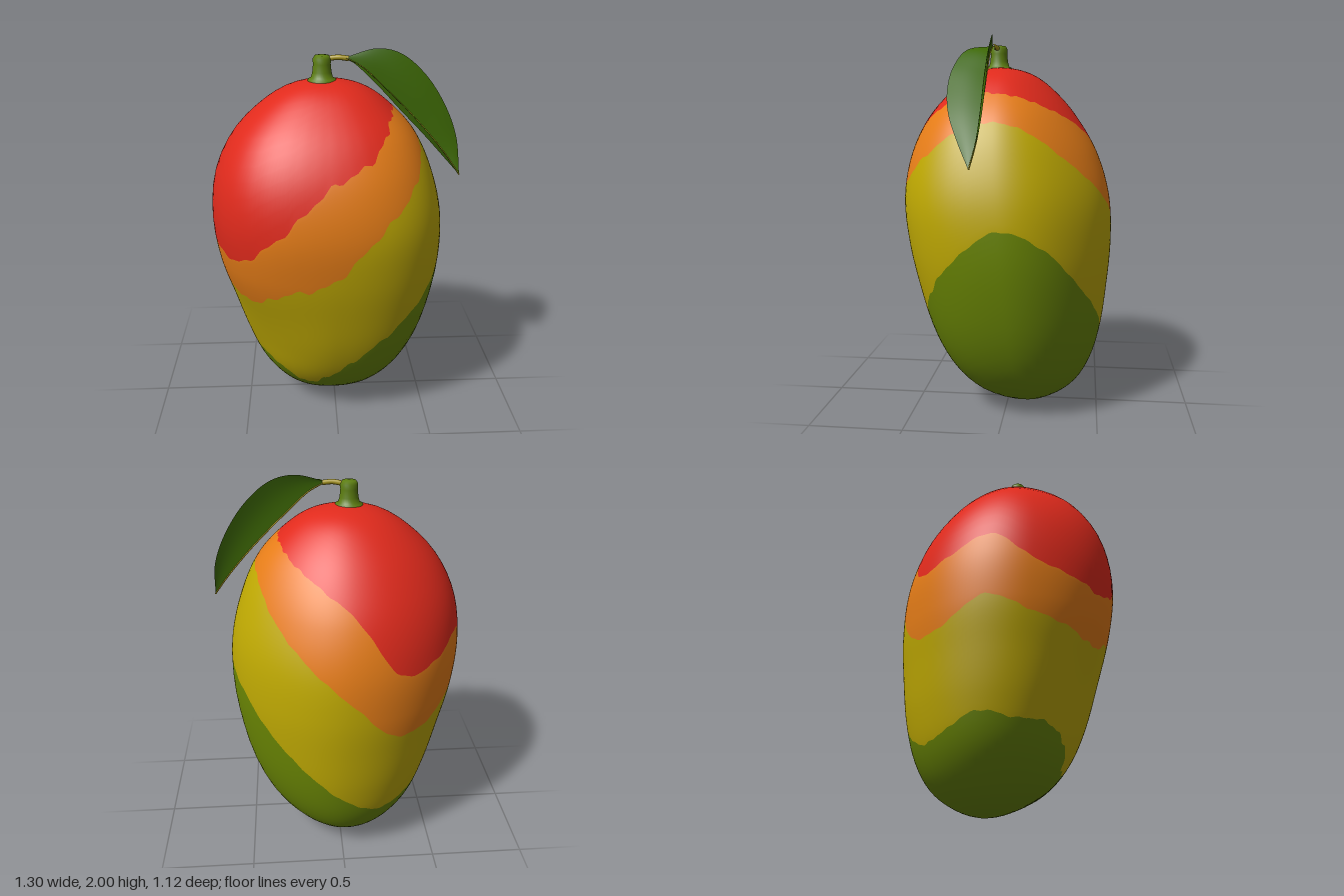
import * as THREE from 'three';

const mat = (name, color, side = THREE.FrontSide) => {
  const m = new THREE.MeshStandardMaterial({ color, side });
  m.name = name;
  return m;
};

const V = (p) => new THREE.Vector3(...p);
const curve = (pts) => new THREE.CatmullRomCurve3(pts.map(V));

// Fruit extents [xMin, xMax, zMin, zMax] at every 15 degrees from bottom pole to top pole
const HALF = 0.9275;
const SECTIONS = [
  [-0.03, -0.03, -0.115, -0.115],
  [-0.18, 0.12, -0.25, 0.03],
  [-0.315, 0.27, -0.38, 0.20],
  [-0.43, 0.395, -0.465, 0.325],
  [-0.505, 0.485, -0.515, 0.415],
  [-0.567, 0.542, -0.543, 0.48],
  [-0.627, 0.573, -0.561, 0.535],
  [-0.65, 0.565, -0.548, 0.56],
  [-0.62, 0.507, -0.482, 0.525],
  [-0.525, 0.415, -0.372, 0.435],
  [-0.38, 0.278, -0.245, 0.308],
  [-0.225, 0.132, -0.112, 0.187],
  [-0.05, -0.05, 0.05, 0.05],
];

// Heights of the colour borders around the fruit, every 22.5 degrees from +x towards +z
const BORDERS = [
  [1.06, 0.92, 0.71, 0.50, 0.30, 0.19, 0.30, 0.37, 0.37, 0.40, 0.33, 0.30, 0.40, 0.58, 0.77, 0.97],
  [1.57, 1.53, 1.38, 1.19, 0.95, 0.87, 0.77, 0.81, 0.86, 0.93, 0.82, 0.82, 1.03, 1.22, 1.38, 1.52],
  [1.71, 1.71, 1.66, 1.52, 1.41, 1.19, 1.02, 1.05, 1.12, 1.26, 1.18, 1.16, 1.44, 1.57, 1.64, 1.69],
];

const cubic = (a, b, c, d, t) =>
  b + 0.5 * t * (c - a + t * (2 * a - 5 * b + 4 * c - d + t * (3 * (b - c) + d - a)));

// Extent k at polar angle phi; past a pole the opposite values mirror through it
function extent(k, phi) {
  const n = SECTIONS.length - 1;
  const f = (phi / Math.PI) * n;
  const i = Math.min(n - 1, Math.floor(f));
  const at = (j) =>
    j < 0 ? 2 * SECTIONS[0][k] - SECTIONS[1][k]
      : j > n ? 2 * SECTIONS[n][k] - SECTIONS[n - 1][k] : SECTIONS[j][k];
  return cubic(at(i - 1), at(i), at(i + 1), at(i + 2), f - i);
}

// Border height with a slightly ragged edge, returned as a polar angle
function borderPhi(k, theta) {
  const b = BORDERS[k], n = b.length;
  const f = (theta / (2 * Math.PI)) * n, i = Math.floor(f);
  const at = (j) => b[(j + n) % n];
  const ragged = 0.01 * Math.sin(23 * theta + k * 2) + 0.008 * Math.sin(41 * theta + k);
  const y = cubic(at(i - 1), at(i), at(i + 1), at(i + 2), f - i) + ragged * Math.max(0.3, Math.sin(theta));
  return Math.acos(1 - y / HALF);
}

// Fullness of each quarter of the fruit, beyond a plain oval
function fullness(c, s, y) {
  if (s < 0) return c < 0 ? -0.005 : -0.04;
  if (c > 0) return 0.06;
  return 0.06 - 0.085 * Math.exp(-(((y - 0.45) / 0.33) ** 2));
}

function fruitPoint(theta, phi) {
  const [x0, x1, z0, z1] = [0, 1, 2, 3].map((k) => extent(k, phi));
  const y = HALF * (1 - Math.cos(phi));
  const c = Math.cos(theta), s = Math.sin(theta);
  const k = 1 + fullness(c, s, y) * Math.sin(2 * theta) ** 2;
  return [(x0 + x1) / 2 + ((x1 - x0) / 2) * c * k, y, (z0 + z1) / 2 + ((z1 - z0) / 2) * s * k];
}

// One smooth skin whose rows follow the colour borders, one group per colour
function fruitGeometry() {
  const around = 180, rows = 16, bands = 4;
  const pos = [], idx = [];
  for (let r = 0; r <= rows * bands; r++) {
    const band = Math.min(bands - 1, Math.floor(r / rows));
    const t = r / rows - band;
    for (let a = 0; a < around; a++) {
      const theta = (a / around) * 2 * Math.PI;
      const lo = band === 0 ? 0 : borderPhi(band - 1, theta);
      const hi = band === bands - 1 ? Math.PI : borderPhi(band, theta);
      pos.push(...fruitPoint(theta, lo + (hi - lo) * t));
    }
  }
  for (let r = 0; r < rows * bands; r++) {
    for (let a = 0; a < around; a++) {
      const b = (a + 1) % around;
      const p = r * around + a, q = r * around + b;
      idx.push(p, p + around, q, q, p + around, q + around);
    }
  }
  const g = new THREE.BufferGeometry();
  g.setAttribute('position', new THREE.Float32BufferAttribute(pos, 3));
  g.setIndex(idx);
  for (let k = 0; k < bands; k++) g.addGroup(k * rows * around * 6, rows * around * 6, k);
  g.computeVertexNormals();
  return g;
}

// Half a leaf blade between the midrib and one edge, with a slight bow
function bladeGeometry(rib, edge, bow) {
  const g = new THREE.PlaneGeometry(1, 1, 40, 8);
  const p = g.attributes.position;
  for (let i = 0; i < p.count; i++) {
    const s = p.getX(i) + 0.5, t = p.getY(i) + 0.5;
    const v = rib.getPoint(s).lerp(edge.getPoint(s), t);
    v.addScaledVector(bow, Math.sin(Math.PI * t) * 0.01 * Math.sin(Math.PI * s));
    p.setXYZ(i, v.x, v.y, v.z);
  }
  g.computeVertexNormals();
  return g;
}

export function createModel() {
  const model = new THREE.Group();
  model.name = 'mango';
  const add = (name, geometry, material) => {
    const m = new THREE.Mesh(geometry, material);
    m.name = name;
    model.add(m);
    return m;
  };

  const skin = [
    mat('green skin', 0x6a8603), mat('yellow skin', 0xbfa902),
    mat('orange skin', 0xe67d18), mat('red skin', 0xe02a1c),
  ];
  const stemGreen = mat('stem green', 0x5c7d10);
  const stalkYellow = mat('stalk yellow', 0xa6941a);
  const leafGreen = mat('leaf green', 0x3d6804, THREE.DoubleSide);

  add('fruit', fruitGeometry(), skin);

  // Stem with flared foot and rounded top
  const profile = [[0.074, 0], [0.07, 0.012], [0.055, 0.02], [0.048, 0.045], [0.044, 0.085],
    [0.046, 0.11], [0.036, 0.127], [0, 0.132]].map(([x, y]) => new THREE.Vector2(x, y));
  const stem = add('stem', new THREE.LatheGeometry(profile, 28), stemGreen);
  stem.position.set(-0.063, 1.842, 0.06);

  // Stalk joining stem and leaf
  const stalk = curve([[-0.06, 1.94, 0.06], [-0.02, 1.955, 0.065], [0.02, 1.96, 0.075], [0.07, 1.955, 0.08]]);
  add('leafStalk', new THREE.TubeGeometry(stalk, 16, 0.013, 10), stalkYellow);

  // Leaf folded along its midrib
  const base = [0.05, 1.96, 0.08], tip = [0.65, 1.36, 0.115];
  const rib = curve([base, [0.14, 1.91, 0.085], [0.245, 1.815, 0.085], [0.36, 1.705, 0.085],
    [0.47, 1.59, 0.086], [0.575, 1.465, 0.095], tip]);
  const backEdge = curve([base, [0.21, 2.0, 0.06], [0.33, 1.975, 0.052], [0.46, 1.87, 0.048],
    [0.57, 1.71, 0.05], [0.633, 1.55, 0.065], tip]);
  const frontEdge = curve([base, [0.1, 1.94, 0.205], [0.2, 1.85, 0.262], [0.305, 1.74, 0.275],
    [0.425, 1.615, 0.25], [0.545, 1.48, 0.185], tip]);
  add('leafBackHalf', bladeGeometry(rib, backEdge, new THREE.Vector3(0, 0, 1)), leafGreen);
  add('leafFrontHalf', bladeGeometry(rib, frontEdge, new THREE.Vector3(0.7, 0.7, 0)), leafGreen);
  add('leafMidrib', new THREE.TubeGeometry(rib, 40, 0.004, 6), stalkYellow);

  return model;
}
